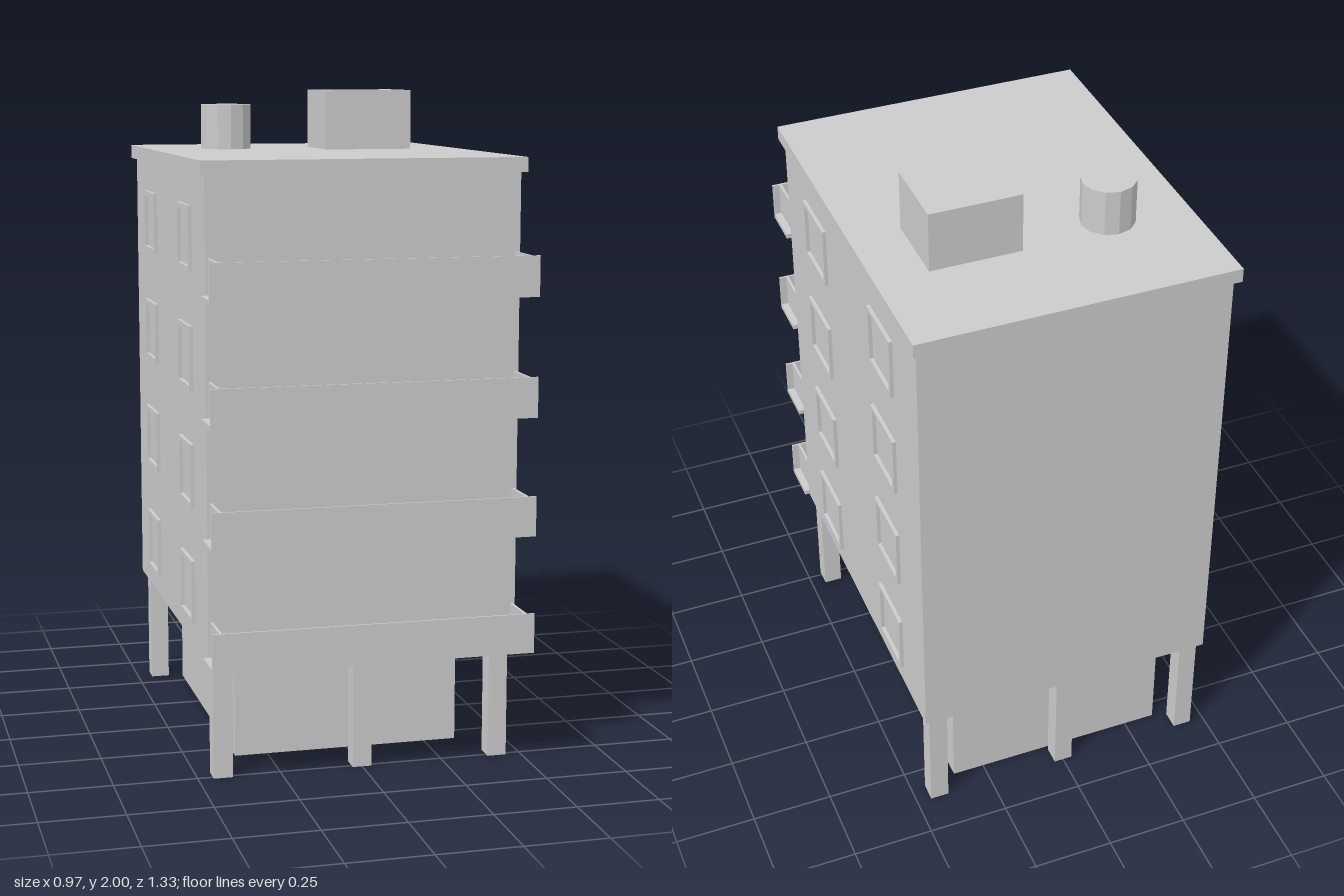
import * as THREE from 'three';

const concrete = new THREE.MeshStandardMaterial({ color: 0xcccccc });
concrete.name = 'light grey concrete';

// Box given by its extents on each axis
function addBox(parent, name, [x0, x1], [y0, y1], [z0, z1]) {
  const mesh = new THREE.Mesh(new THREE.BoxGeometry(x1 - x0, y1 - y0, z1 - z0), concrete);
  mesh.position.set((x0 + x1) / 2, (y0 + y1) / 2, (z0 + z1) / 2);
  mesh.name = name;
  parent.add(mesh);
  return mesh;
}

// Square window frame with an opening, facing +z
function frameGeometry(size, border, depth) {
  const square = (Type, h) => new Type([[-h, -h], [h, -h], [h, h], [-h, h]].map(p => new THREE.Vector2(...p)));
  const shape = square(THREE.Shape, size / 2);
  shape.holes.push(square(THREE.Path, size / 2 - border));
  return new THREE.ExtrudeGeometry(shape, { depth, bevelEnabled: false });
}

export function createModel() {
  const building = new THREE.Group();
  building.name = 'apartmentBlock';

  // Main volumes
  addBox(building, 'groundFloorCore', [-0.35, 0.35], [0, 0.335], [-0.555, 0.325]);
  addBox(building, 'upperFloors', [-0.47, 0.47], [0.36, 1.775], [-0.64, 0.53]);
  addBox(building, 'roofSlab', [-0.485, 0.485], [1.772, 1.815], [-0.662, 0.548]);

  // Columns in front and back rows
  for (const z of [0.485, -0.597]) {
    for (const x of [-0.425, 0, 0.425]) {
      addBox(building, 'column', [x - 0.029, x + 0.029], [0, 0.36], [z - 0.029, z + 0.029]);
    }
  }

  const frame = frameGeometry(0.192, 0.014, 0.012);
  for (let floor = 0; floor < 4; floor++) {
    const y = 0.36 + floor * 0.353;

    // Balcony: slab, front parapet and inset side panels
    const balcony = new THREE.Group();
    balcony.name = 'balcony';
    building.add(balcony);
    addBox(balcony, 'balconyFloor', [-0.485, 0.485], [y, y + 0.015], [0.53, 0.66]);
    addBox(balcony, 'balconyParapet', [-0.485, 0.485], [y, y + 0.12], [0.658, 0.664]);
    for (const side of [-1, 1]) {
      const x = side * 0.459;
      addBox(balcony, 'balconySidePanel', [x - 0.004, x + 0.004], [y + 0.015, y + 0.12], [0.53, 0.658]);

      // Two window frames on each side wall
      for (const z of [0.239, -0.35]) {
        const win = new THREE.Mesh(frame, concrete);
        win.name = 'windowFrame';
        win.position.set(side * 0.469, y + 0.161, z);
        win.rotation.y = side * Math.PI / 2;
        building.add(win);
      }
    }
  }

  // Rooftop stair house and water tank
  addBox(building, 'stairHouse', [0.047, 0.326], [1.81, 2], [-0.355, -0.12]);
  const tankGeometry = new THREE.CylinderGeometry(0.081, 0.081, 0.145, 12).toNonIndexed();
  tankGeometry.computeVertexNormals();
  const tank = new THREE.Mesh(tankGeometry, concrete);
  tank.name = 'waterTank';
  tank.position.set(-0.237, 1.8825, -0.296);
  building.add(tank);

  return building;
}
